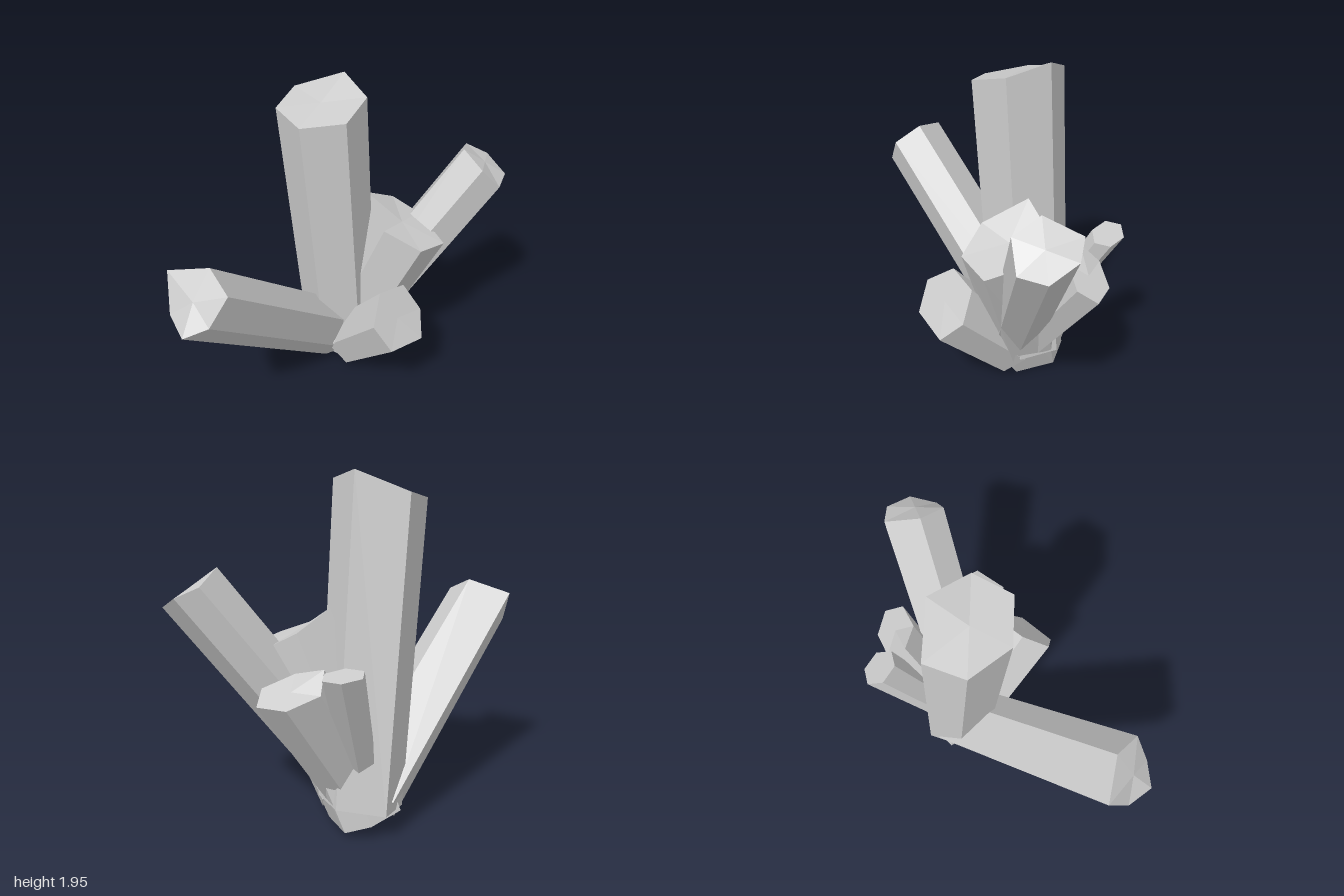
import * as THREE from 'three';

const material = new THREE.MeshStandardMaterial({ color: 0xcccccc, flatShading: true });
const SIDES = 6;

// A six-sided prism with a slanted tip: the tip's centre, two half-widths lying in
// the slanted cut, the run from tip to root, the root's relative width, and small
// shifts that make single corners irregular. The root is cut square to the run.
function crystal(name, tip, u, v, run, taper, nudges = {}) {
  const centre = new THREE.Vector3(...tip);
  const across = new THREE.Vector3(...u);
  const along = new THREE.Vector3(...v);
  const axis = new THREE.Vector3(...run);
  const rootCentre = centre.clone().add(axis);
  const flipped = across.clone().cross(along).dot(axis) > 0;

  const top = [];
  const root = [];
  for (let i = 0; i < SIDES; i++) {
    const angle = (i / SIDES) * Math.PI * 2;
    const offset = new THREE.Vector3()
      .addScaledVector(across, Math.cos(angle))
      .addScaledVector(along, Math.sin(angle));
    if (nudges[i]) offset.add(new THREE.Vector3(...nudges[i]));
    top.push(centre.clone().add(offset));
    const low = offset.projectOnPlane(axis.clone().normalize()).multiplyScalar(taper).add(rootCentre);
    low.y = Math.max(low.y, 0); // cut off at the ground
    root.push(low);
  }
  // Corners run counter-clockwise as seen from beyond the tip
  if (flipped) {
    top.reverse();
    root.reverse();
  }

  const points = [];
  for (let i = 0; i < SIDES; i++) {
    const j = (i + 1) % SIDES;
    points.push(top[i], root[i], root[j], top[i], root[j], top[j]); // side
    points.push(centre, top[i], top[j]); // tip cap
    points.push(rootCentre, root[j], root[i]); // root cap
  }
  const geometry = new THREE.BufferGeometry().setFromPoints(points);
  geometry.computeVertexNormals();

  const mesh = new THREE.Mesh(geometry, material);
  mesh.name = name;
  return mesh;
}

export function createModel() {
  const group = new THREE.Group();
  group.name = 'crystalCluster';
  group.add(
    // Tall upright crystal and the long one leaning forward
    crystal('mainCrystal', [-0.235, 1.85, -0.125], [-0.01, 0.06, -0.22], [0.27, 0.02, 0.01], [0.01, -1.71, -0.17], 0.94,
      { 0: [0.02, 0.04, 0], 5: [-0.02, -0.02, 0] }),
    crystal('frontCrystal', [-0.37, 1.1, 0.872], [-0.2, 0.08, -0.06], [0.1, 0.13, -0.11], [0.12, -0.96, -1.13], 1,
      { 0: [-0.02, 0, 0], 1: [0.04, 0, 0], 3: [-0.07, -0.01, -0.02], 5: [0.05, -0.04, -0.02] }),
    // Crystals leaning to the left
    crystal('backLeftCrystal', [0.455, 1.36, -0.845], [-0.1, 0.1, 0.1], [0.118, -0.025, 0.125], [-0.64, -1.2, 0.64], 1,
      { 2: [-0.02, -0.035, 0], 5: [-0.02, -0.04, -0.04] }),
    crystal('middleCrystal', [0.15, 1.07, -0.4], [-0.01, 0.04, 0.2], [0.25, -0.08, 0.06], [-0.41, -1.03, 0.1], 0.85,
      { 2: [0.04, 0, 0], 4: [0.06, 0, 0], 5: [0, 0.07, 0] }),
    crystal('lowLeftCrystal', [0.32, 0.62, -0.08], [-0.11, 0.16, 0.03], [0, -0.05, 0.2], [-0.43, -0.48, -0.16], 0.88,
      { 3: [0.02, 0, -0.05] }),
    // Short crystals leaning backward
    crystal('backCrystal', [-0.115, 0.875, -0.745], [-0.16, 0, 0.035], [0.03, -0.07, -0.14], [-0.1, -0.76, 0.49], 0.85,
      { 5: [0, 0.04, 0] }),
    crystal('backRightCrystal', [-0.39, 0.99, -0.68], [-0.12, 0.01, -0.01], [0.02, -0.02, -0.085], [0.15, -0.86, 0.43], 0.75),
  );
  return group;
}
